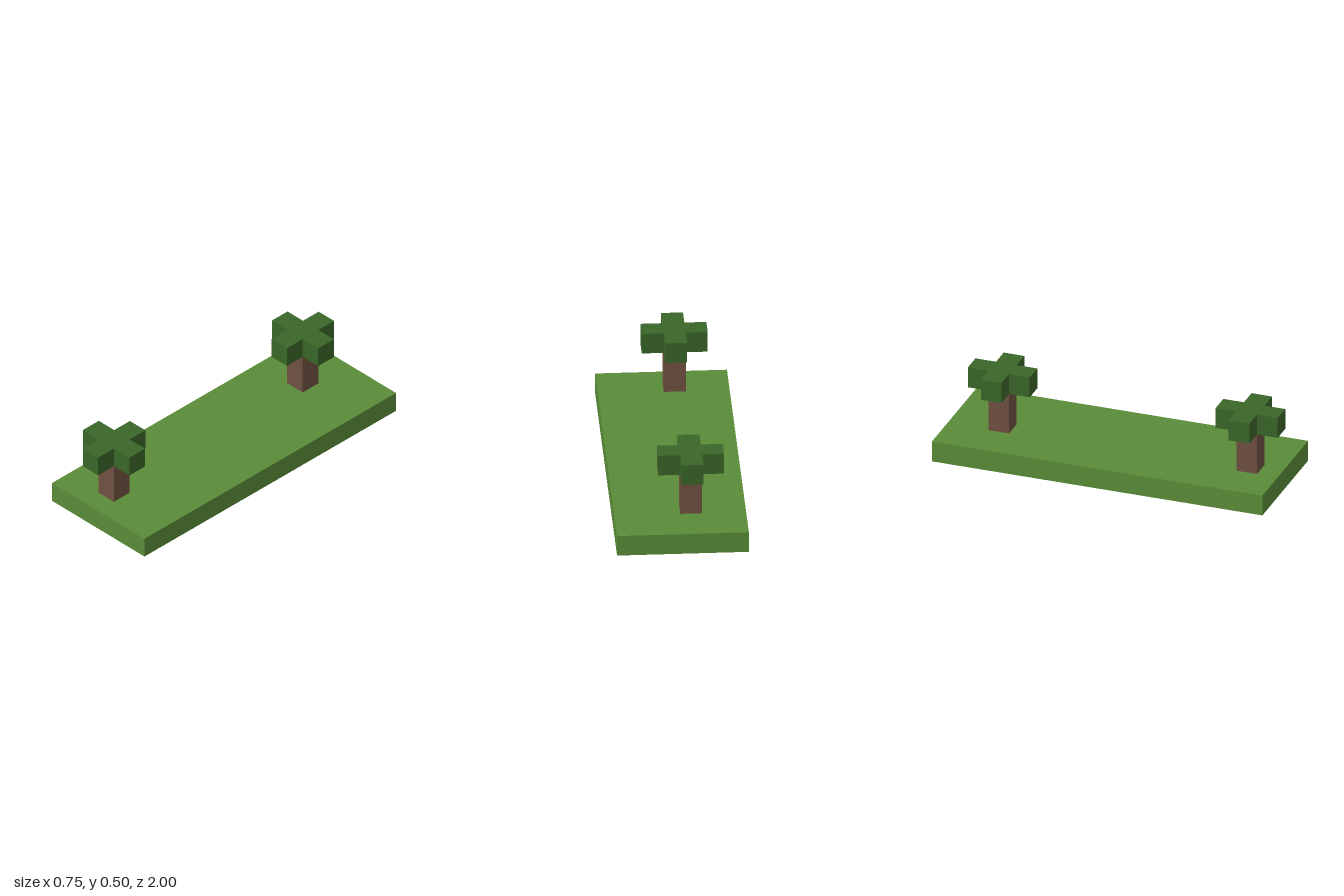
import * as THREE from 'three';

const U = 0.125; // block size

export function createModel() {
  const model = new THREE.Group();
  model.name = 'grassPlatformWithTrees';

  const material = (name, color) => {
    const m = new THREE.MeshStandardMaterial({ color });
    m.name = name;
    return m;
  };
  const grass = material('grass green', 0x5a8c38);
  const leaves = material('leaf green', 0x396628);
  const bark = material('bark brown', 0x705142);

  const addMesh = (parent, name, geometry, mat, y) => {
    const mesh = new THREE.Mesh(geometry, mat);
    mesh.name = name;
    mesh.position.y = y;
    parent.add(mesh);
  };

  // Ground slab
  addMesh(model, 'ground', new THREE.BoxGeometry(6 * U, U, 16 * U), grass, U / 2);

  // Plus-shaped crown, one block thick
  const a = U / 2, b = 1.5 * U;
  const plus = new THREE.Shape([
    [a, -b], [a, -a], [b, -a], [b, a], [a, a], [a, b],
    [-a, b], [-a, a], [-b, a], [-b, -a], [-a, -a], [-a, -b],
  ].map(([x, y]) => new THREE.Vector2(x, y)));
  const crown = new THREE.ExtrudeGeometry(plus, { depth: U, bevelEnabled: false });
  crown.rotateX(-Math.PI / 2);
  const trunk = new THREE.BoxGeometry(U, 2 * U, U);

  // Two identical trees, front and back
  for (const [name, z] of [['frontTree', 6.5 * U], ['backTree', -5.5 * U]]) {
    const tree = new THREE.Group();
    tree.name = name;
    tree.position.set(-U / 2, U, z);
    addMesh(tree, 'trunk', trunk, bark, U);
    addMesh(tree, 'crown', crown, leaves, 2 * U);
    model.add(tree);
  }
  return model;
}
